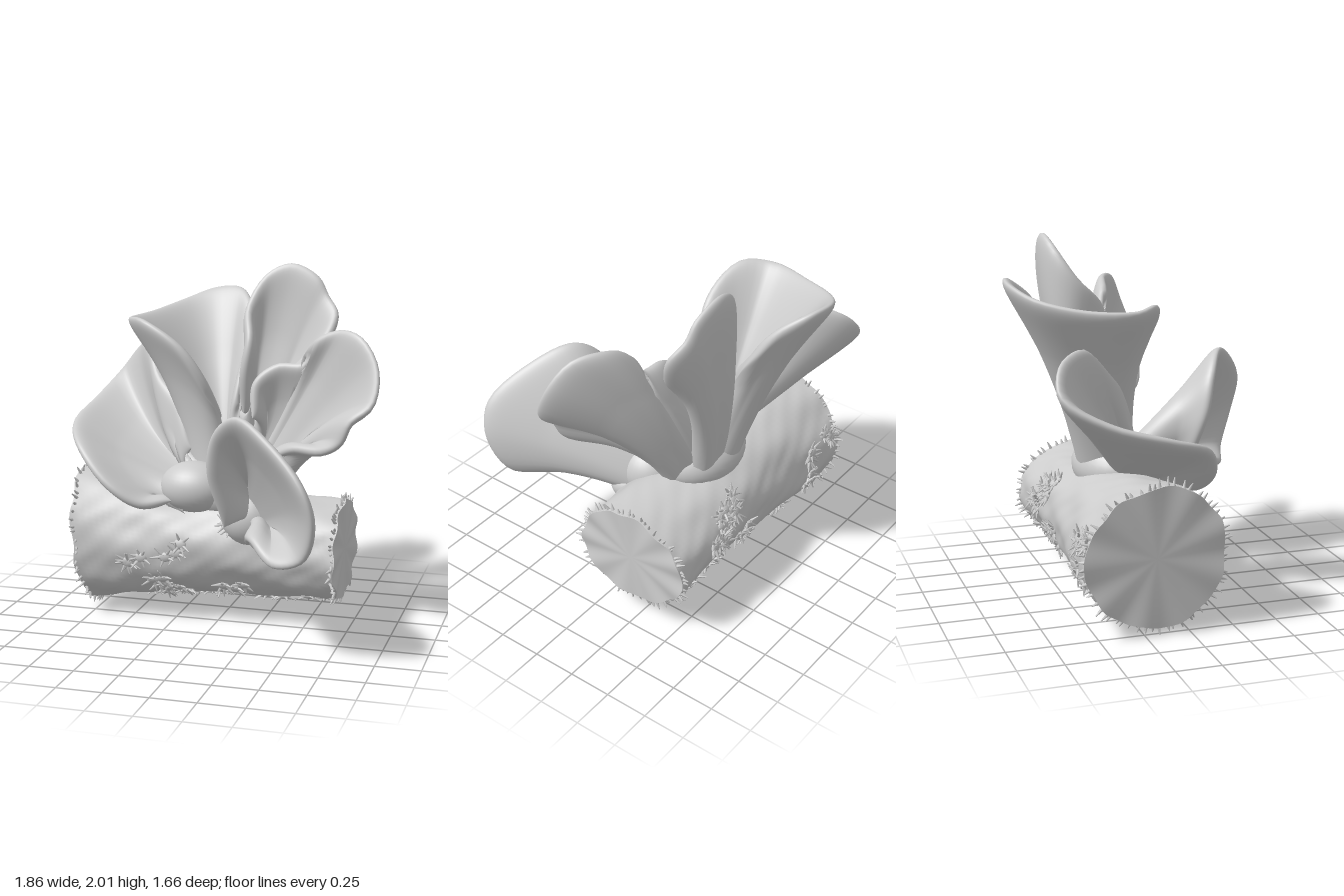
import * as THREE from 'three';
import { mergeVertices, mergeGeometries, toCreasedNormals } from 'three/addons/utils/BufferGeometryUtils.js';

const V = (a) => new THREE.Vector3(...a);
const lerp = THREE.MathUtils.lerp;
const material = new THREE.MeshStandardMaterial({ color: 0xcccccc, side: THREE.DoubleSide });

// Small seeded generator
let seed = 7;
const rand = () => (seed = (seed * 16807) % 2147483647) / 2147483647;

function addMesh(group, name, geometry) {
  const mesh = new THREE.Mesh(geometry, material);
  mesh.name = name;
  group.add(mesh);
  return mesh;
}

// Point on the log: t runs along it (0..1), a around it, f from the core to the bark
function logPoint(t, a, f = 1) {
  const bump = 1 + 0.022 * Math.sin(3 * a + 7 * t) + 0.014 * Math.sin(7 * a - 17 * t)
    + 0.012 * Math.sin(13 * a + 31 * t) * Math.sin(23 * t + 2 * a);
  const waist = 1 - 0.06 * Math.sin(Math.PI * t);
  const y = lerp(0.42, 0.405, t) + f * lerp(0.395, 0.275, t) * bump * waist * Math.cos(a);
  const z = lerp(-0.2, -0.22, t) + f * lerp(0.385, 0.345, t) * bump * waist * Math.sin(a);
  const x = lerp(-0.82, 0.69, t) - (1 - t) * 0.09 * (y - 0.42) + 0.008 * f * Math.sin(9 * a);
  return new THREE.Vector3(x, y, z);
}

function logGeometry() {
  const geo = new THREE.CylinderGeometry(1, 1, 1, 96, 48).rotateZ(-Math.PI / 2);
  const p = geo.attributes.position;
  for (let i = 0; i < p.count; i++) {
    const y = p.getY(i), z = p.getZ(i);
    const q = logPoint(p.getX(i) + 0.5, Math.atan2(z, y), Math.hypot(y, z));
    p.setXYZ(i, q.x, q.y, q.z);
  }
  return toCreasedNormals(geo, 0.9);
}

// One thin pointed shoot
function spike(from, dir, length, radius) {
  const geo = new THREE.CylinderGeometry(radius * 0.25, radius, length, 5, 1).translate(0, length * 0.4, 0);
  geo.applyQuaternion(new THREE.Quaternion().setFromUnitVectors(new THREE.Vector3(0, 1, 0), dir));
  return geo.translate(from.x, from.y, from.z);
}

// Star-shaped lichen tufts on the bark and a fringe round both ends
function lichenGeometry() {
  const parts = [];
  const axis = new THREE.Vector3(1, 0, 0);
  const outward = (t, a) => new THREE.Vector3(0, Math.cos(a), Math.sin(a));
  const tuft = (t, a) => {
    const c = logPoint(t, a), n = outward(t, a), side = new THREE.Vector3().crossVectors(axis, n);
    const patch = new THREE.SphereGeometry(0.03, 8, 6).scale(1.3, 0.5, 1);
    patch.applyQuaternion(new THREE.Quaternion().setFromUnitVectors(new THREE.Vector3(0, 1, 0), n));
    parts.push(patch.translate(c.x, c.y, c.z));
    const arms = 5 + Math.floor(rand() * 3);
    for (let i = 0; i < arms; i++) {
      const b = (i + rand() * 0.6) / arms * Math.PI * 2;
      const flat = axis.clone().multiplyScalar(Math.cos(b)).addScaledVector(side, Math.sin(b));
      const dir = flat.clone().addScaledVector(n, 0.25 + rand() * 0.4).normalize();
      parts.push(spike(c.clone().addScaledVector(flat, 0.02), dir, 0.04 + rand() * 0.035, 0.012));
    }
  };
  // Tufts gather in clusters below the crown of the log
  for (let k = 0; k < 26; k++) {
    const t = 0.05 + rand() * 0.9, a = 0.9 + rand() * 4.5;
    for (let j = 0; j < 3; j++) {
      tuft(THREE.MathUtils.clamp(t + (rand() - 0.5) * 0.1, 0.02, 0.98), a + (rand() - 0.5) * 0.35);
    }
  }
  for (const t of [0.01, 0.99]) {
    for (let i = 0; i < 60; i++) {
      const a = i / 60 * Math.PI * 2 + rand() * 0.08;
      const dir = outward(t, a).addScaledVector(axis, (rand() - 0.5) * 0.9).normalize();
      parts.push(spike(logPoint(t, a), dir, 0.025 + rand() * 0.03, 0.011));
    }
  }
  return mergeGeometries(parts);
}

// Fleshy fan: the sheet sweeps from a narrow stem through the belly to a wavy rim
function fanGeometry({ base, belly, rim, lip = 0.034 }) {
  const rimCurve = new THREE.CatmullRomCurve3(rim.map(V));
  const centre = rim.map(V).reduce((s, p) => s.add(p), new THREE.Vector3()).divideScalar(rim.length);
  const b = V(base), m = V(belly);
  const surface = (u, v) => {
    const r = rimCurve.getPoint((u + 1) / 2), d = r.clone().sub(centre);
    return b.clone().addScaledVector(d, 0.26).multiplyScalar((1 - v) ** 2)
      .addScaledVector(m.clone().addScaledVector(d, 0.36), 2 * v * (1 - v))
      .addScaledVector(r, v * v);
  };
  const nu = 72, nv = 28, e = 0.004, pos = [], index = [];
  for (const s of [1, -1]) {
    const start = pos.length / 3;
    for (let j = 0; j <= nv; j++) {
      for (let i = 0; i <= nu; i++) {
        const u = Math.sin((i / nu - 0.5) * Math.PI), v = Math.sin(j / nv * Math.PI / 2);
        const u0 = Math.max(-1, u - e), u1 = Math.min(1, u + e);
        const v0 = Math.max(0, v - e), v1 = Math.min(1, v + e);
        const du = surface(u1, v).sub(surface(u0, v)), dv = surface(u, v1).sub(surface(u, v0));
        const edge = i === 0 || i === nu || j === nv;
        const h = edge ? 0 : lerp(0.06, lip, Math.min(1, v * 1.6))
          * Math.sqrt((1 - Math.abs(u) ** 20) * (1 - v ** 22));
        const q = surface(u, v).addScaledVector(du.cross(dv).normalize(), s * h);
        pos.push(q.x, q.y, q.z);
        if (i < nu && j < nv) {
          const k = start + j * (nu + 1) + i, l = k + nu + 1;
          if (s > 0) index.push(k, k + 1, l, k + 1, l + 1, l);
          else index.push(k, l, k + 1, k + 1, l, l + 1);
        }
      }
    }
  }
  let geo = new THREE.BufferGeometry();
  geo.setAttribute('position', new THREE.Float32BufferAttribute(pos, 3));
  geo.setIndex(index);
  geo = mergeVertices(geo, 1e-5);
  geo.computeVertexNormals();
  return geo;
}

// Each rim runs from one side of the stem round to the other
const fans = {
  frontFan: {
    base: [0.2, 0.6, -0.02], belly: [0.37, 0.78, 0.3],
    rim: [[0.12, 0.62, 0.3], [0.05, 0.95, 0.4], [0.1, 1.17, 0.45], [0.24, 1.28, 0.53], [0.45, 1.19, 0.68],
      [0.66, 1.0, 0.81], [0.72, 0.8, 0.79], [0.65, 0.58, 0.7], [0.48, 0.52, 0.64], [0.32, 0.6, 0.5], [0.24, 0.54, 0.3]],
  },
  lowRightFan: {
    base: [-0.17, 0.74, -0.1], belly: [-0.45, 0.86, -0.2],
    rim: [[-0.2, 0.95, -0.15], [-0.3, 1.2, -0.25], [-0.45, 1.33, -0.35], [-0.57, 1.5, -0.52], [-0.68, 1.45, -0.67],
      [-0.8, 1.31, -0.7], [-0.89, 1.17, -0.48], [-0.92, 1.07, -0.15], [-0.8, 0.97, 0.1], [-0.6, 0.78, 0.2],
      [-0.42, 0.67, 0.17], [-0.25, 0.69, 0.08]],
  },
  tallRightFan: {
    base: [-0.04, 0.72, -0.25], belly: [-0.12, 1.22, -0.36],
    rim: [[-0.04, 1.14, -0.2], [-0.11, 1.35, -0.08], [-0.25, 1.56, -0.04], [-0.48, 1.69, -0.09], [-0.6, 1.68, -0.24],
      [-0.54, 1.69, -0.5], [-0.41, 1.74, -0.73], [-0.25, 1.8, -0.83], [-0.09, 1.81, -0.81], [0.01, 1.73, -0.7],
      [0.06, 1.6, -0.6], [0.04, 1.4, -0.46], [0.02, 1.18, -0.36]],
  },
  topFan: {
    base: [0.08, 0.7, -0.28], belly: [0.18, 1.3, -0.45],
    rim: [[0.08, 1.15, -0.25], [0.09, 1.4, -0.19], [0.12, 1.6, -0.21], [0.08, 1.76, -0.36], [0.16, 1.93, -0.47],
      [0.3, 1.99, -0.5], [0.46, 1.92, -0.48], [0.52, 1.82, -0.46], [0.59, 1.72, -0.4], [0.54, 1.58, -0.34],
      [0.44, 1.48, -0.3], [0.3, 1.36, -0.32], [0.2, 1.15, -0.32]],
  },
  leftFan: {
    base: [0.16, 0.7, -0.22], belly: [0.42, 1.16, -0.2],
    rim: [[0.18, 1.16, -0.06], [0.18, 1.36, -0.1], [0.3, 1.46, -0.13], [0.46, 1.48, -0.12], [0.53, 1.61, -0.07],
      [0.68, 1.68, -0.04], [0.82, 1.65, 0.05], [0.92, 1.5, 0.13], [0.91, 1.32, 0.2], [0.8, 1.22, 0.22],
      [0.74, 1.1, 0.2], [0.64, 1.04, 0.17], [0.45, 1.02, 0.08], [0.3, 0.95, 0]],
  },
};

export function createModel() {
  const group = new THREE.Group();
  addMesh(group, 'log', logGeometry());
  addMesh(group, 'lichen', lichenGeometry());
  for (const [name, fan] of Object.entries(fans)) addMesh(group, name, fanGeometry(fan));

  // Swollen foot where the stems join the bark
  const lumps = [
    [[0, 0.72, -0.18], [0.3, 0.18, 0.24]],
    [[-0.15, 0.75, -0.04], [0.2, 0.15, 0.16]],
    [[0.2, 0.62, 0.02], [0.17, 0.17, 0.18]],
    [[0.3, 0.53, 0.1], [0.1, 0.09, 0.1]],
  ];
  for (const [centre, size] of lumps) {
    const foot = addMesh(group, 'foot', new THREE.SphereGeometry(1, 32, 20));
    foot.position.set(...centre);
    foot.scale.set(...size);
  }
  return group;
}
